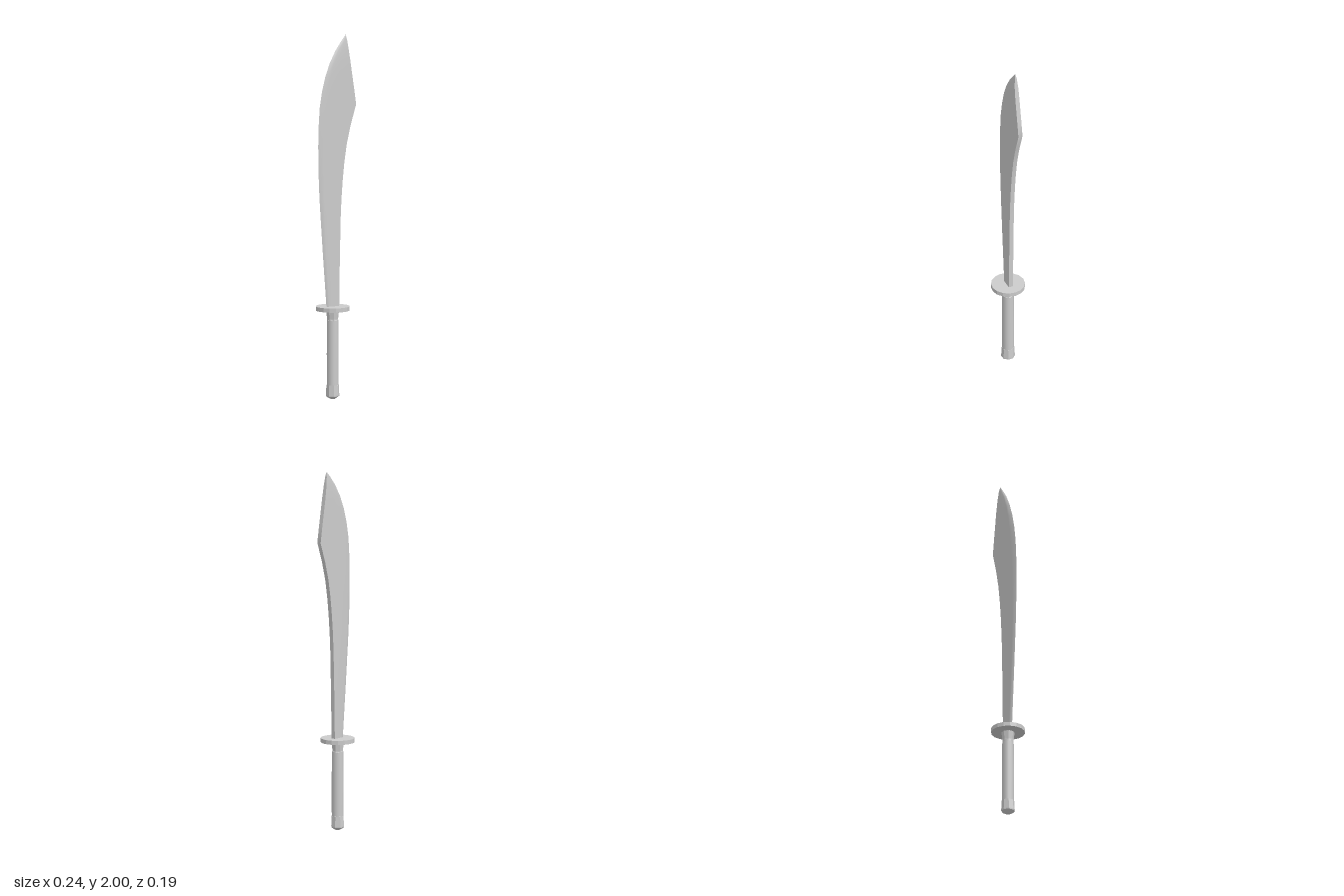
import * as THREE from 'three';

const AXIS = -0.027; // x of the handle axis

function material(flat) {
  return new THREE.MeshStandardMaterial({ color: 0xcccccc, flatShading: flat, side: THREE.DoubleSide });
}

// Turned handle part from [radius, height] pairs
function turned(name, profile, sides, flat, turn = 0) {
  const points = profile.map(([r, y]) => new THREE.Vector2(r, y));
  const mesh = new THREE.Mesh(new THREE.LatheGeometry(points, sides, turn), material(flat));
  mesh.name = name;
  mesh.position.x = AXIS;
  return mesh;
}

// Blade lofted from wedge sections: [height, cutting edge x, spine x, thickness factor]
function makeBlade() {
  const rows = [
    [0.50, -0.067, 0.008, 1], [0.65, -0.079, 0.010, 1], [0.80, -0.091, 0.013, 1],
    [1.00, -0.106, 0.018, 1], [1.10, -0.113, 0.023, 1], [1.20, -0.118, 0.031, 1],
    [1.30, -0.121, 0.042, 1], [1.40, -0.122, 0.058, 1], [1.50, -0.120, 0.083, 1],
    [1.614, -0.112, 0.120, 1], [1.70, -0.097, 0.107, 1], [1.78, -0.075, 0.094, 1],
    [1.85, -0.047, 0.083, 1], [1.92, -0.007, 0.072, 0.85], [1.97, 0.032, 0.065, 0.5],
    [2.00, 0.059, 0.060, 0.05],
  ];
  // Across the blade: [fraction from edge to spine, half thickness]
  const side = [[0, 0], [0.08, 0.0055], [0.18, 0.0092], [0.5, 0.011], [1, 0.0125]];
  const positions = [], index = [];

  // A strip has its own vertices, so its borders stay sharp
  function strip(section) {
    const start = positions.length / 3, n = section.length;
    for (const [y, edge, spine, k] of rows) {
      for (const [t, z] of section) positions.push(edge + (spine - edge) * t, y, z * k);
    }
    for (let r = 0; r < rows.length - 1; r++) {
      for (let i = 0; i < n - 1; i++) {
        const a = start + r * n + i, b = a + 1, c = a + n, d = c + 1;
        index.push(a, b, d, a, d, c);
      }
    }
  }
  strip(side);
  strip(side.map(([t, z]) => [t, -z]).reverse());
  strip([[1, 0.0125], [1, -0.0125]]);

  const geometry = new THREE.BufferGeometry();
  geometry.setAttribute('position', new THREE.Float32BufferAttribute(positions, 3));
  geometry.setIndex(index);
  geometry.computeVertexNormals();
  const blade = new THREE.Mesh(geometry, material(false));
  blade.name = 'blade';
  return blade;
}

export function createModel() {
  const sword = new THREE.Group();
  sword.name = 'sword';
  const eighth = Math.PI / 8;

  sword.add(makeBlade());
  sword.add(turned('guard', [[0, 0.49], [0.093, 0.49], [0.093, 0.513], [0, 0.513]], 16, true));
  sword.add(turned('collar', [[0.031, 0.435], [0.031, 0.445], [0.036, 0.49]], 8, true, eighth));
  sword.add(turned('grip', [[0.032, 0.07], [0.0325, 0.25], [0.0315, 0.43]], 16, false));
  sword.add(turned('gripEnd', [[0.0315, 0.43], [0.0315, 0.438], [0.026, 0.442]], 16, true));
  sword.add(turned('pommel',
    [[0, 0], [0.014, 0.004], [0.037, 0.018], [0.0375, 0.024], [0.0345, 0.08], [0.026, 0.082]], 8, true, eighth));
  return sword;
}
